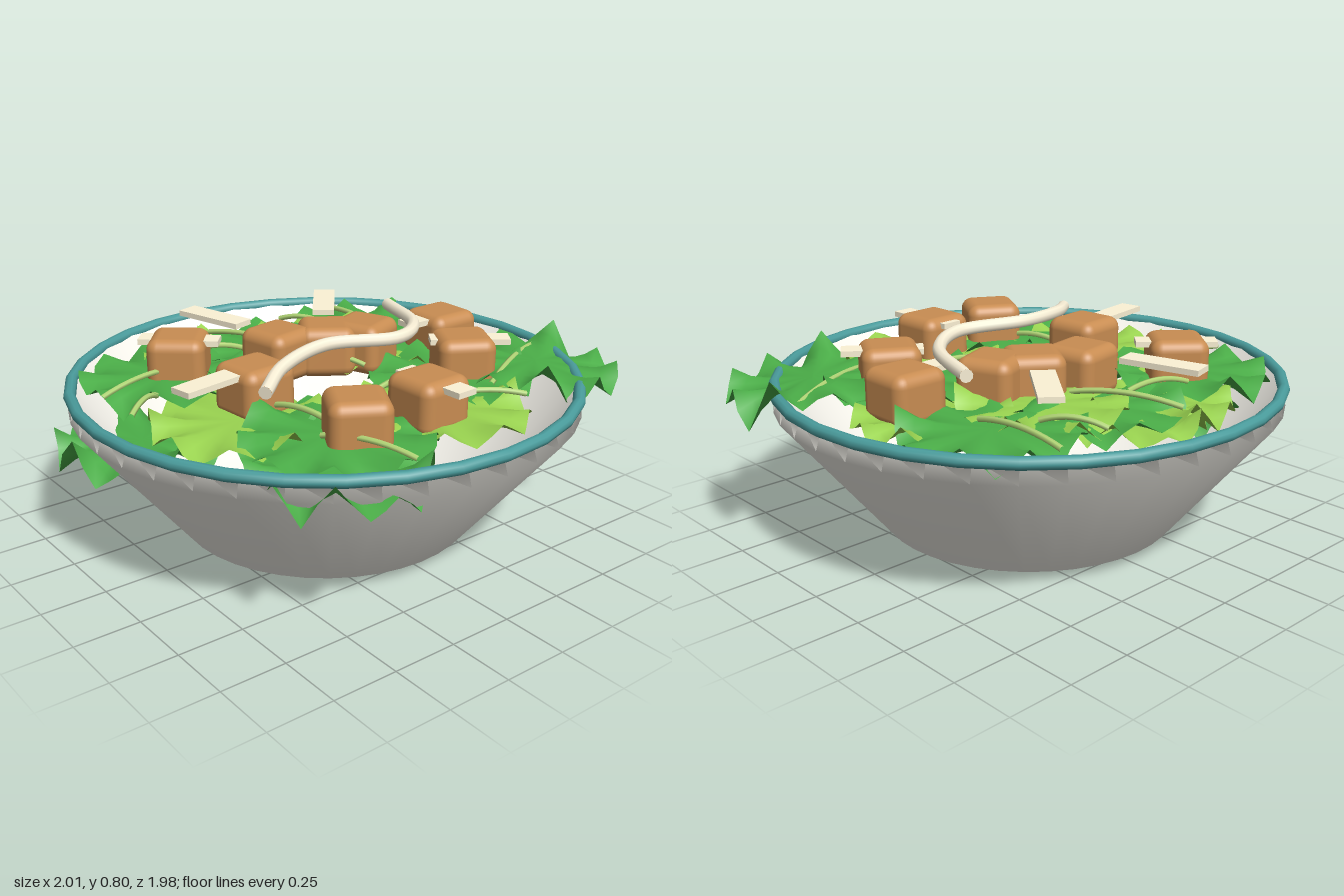
import * as THREE from 'three';
import { RoundedBoxGeometry } from 'three/addons/geometries/RoundedBoxGeometry.js';

const mat = (color, extra = {}) => new THREE.MeshStandardMaterial({ color, ...extra });
const V = (x, y, z) => new THREE.Vector3(x, y, z);

// Lettuce disc: flat in the middle, edge pleated up and down, tilting down outwards by `droop`.
function leafGeometry(x, y, z, radius, ruffle, droop, phase) {
  const rings = 5, seg = 36, pos = [], index = [];
  const len = Math.hypot(x, z);
  for (let i = 0; i <= rings; i++) {
    const t = i / rings;
    for (let j = 0; j < seg; j++) {
      const a = (j / seg) * Math.PI * 2;
      const r = radius * t * (1 + 0.025 * t * t * Math.sin(11 * a + phase));
      const dx = r * Math.cos(a), dz = r * Math.sin(a);
      const pleat = [0, 1, 0, -1][j % 4] * (0.8 + 0.3 * Math.sin(3 * a + phase)) + 0.35 * Math.sin(4 * a + 2 * phase);
      const tilt = -droop * Math.max(0, (dx * x + dz * z) / len);
      pos.push(x + dx, y + ruffle * t ** 4 * pleat + tilt, z + dz);
    }
  }
  for (let i = 0; i < rings; i++) {
    for (let j = 0; j < seg; j++) {
      const k = (j + 1) % seg;
      const a = i * seg + j, b = i * seg + k, c = a + seg, d = b + seg;
      if (i > 0) index.push(a, b, c);
      index.push(b, d, c);
    }
  }
  const g = new THREE.BufferGeometry();
  g.setAttribute('position', new THREE.Float32BufferAttribute(pos, 3));
  g.setIndex(index);
  g.computeVertexNormals();
  return g;
}

export function createModel() {
  const model = new THREE.Group();
  const add = (name, geometry, material, parent = model) => {
    const mesh = new THREE.Mesh(geometry, material);
    mesh.name = name;
    parent.add(mesh);
    return mesh;
  };
  const group = (name) => {
    const g = new THREE.Group();
    g.name = name;
    model.add(g);
    return g;
  };

  // Bowl: outer wall up, over the softly rounded lip, and down the inside
  const profile = [
    [0, 0.003], [0.49, 0.003], [0.58, 0.042], [0.976, 0.535], [0.948, 0.612], [0.55, 0.1], [0, 0.055],
  ].map(([r, y]) => new THREE.Vector2(r, y));
  add('bowl', new THREE.LatheGeometry(profile, 40), mat(0xf8f6ee, { side: THREE.DoubleSide }))
    .position.set(-0.012, 0, -0.003);
  const rim = add('rim', new THREE.TorusGeometry(0.965, 0.023, 10, 32), mat(0x4a9c9c));
  rim.rotation.x = Math.PI / 2;
  rim.position.set(-0.012, 0.608, -0.003);

  // Lettuce: x, y, z, radius, ruffle, droop
  const leafSets = {
    darkLeaf: [0x4bae48, [
      [-0.49, 0.605, -0.38, 0.33, 0.05, 0.03],
      [-0.33, 0.605, 0.48, 0.345, 0.05, 0.03],
      [0.05, 0.59, -0.42, 0.32, 0.045, 0.03],
      [0.51, 0.605, -0.38, 0.325, 0.05, 0.03],
      [0.38, 0.605, 0.28, 0.32, 0.045, 0],
      [0.68, 0.64, 0.44, 0.315, 0.075, 0.15],
      [-0.69, 0.43, -0.24, 0.315, 0.08, 0],
      [-0.42, 0.54, 0.6, 0.31, 0.075, 0],
    ]],
    lightLeaf: [0x9ad450, [
      [-0.2, 0.575, -0.49, 0.285, 0.05, 0],
      [-0.02, 0.56, -0.52, 0.27, 0.05, 0],
      [-0.5, 0.585, 0.14, 0.32, 0.05, 0],
      [0.22, 0.61, -0.32, 0.31, 0.05, 0.04],
      [0.12, 0.595, 0.5, 0.325, 0.045, 0],
      [0.54, 0.585, -0.1, 0.285, 0.045, 0],
    ]],
  };
  const lettuce = group('lettuce');
  for (const [name, [color, list]] of Object.entries(leafSets)) {
    const material = mat(color, { side: THREE.DoubleSide });
    list.forEach((leaf, i) => add(name, leafGeometry(...leaf, i * 1.7), material, lettuce));
  }

  // Croutons: x, z, turn in degrees
  const croutons = group('croutons');
  const toast = mat(0xc98d52);
  const cube = new RoundedBoxGeometry(0.225, 0.2, 0.225, 4, 0.045);
  for (const [x, z, turn] of [
    [-0.43, -0.385, -40], [-0.08, -0.215, 10], [0.11, -0.155, -35], [0.255, -0.1, 22], [0.59, -0.01, 0],
    [-0.38, 0.06, 5], [0.44, 0.28, -30], [-0.285, 0.53, -30], [0.035, 0.53, 2],
  ]) {
    const crouton = add('crouton', cube, toast, croutons);
    crouton.position.set(x, 0.655, z);
    crouton.rotation.y = THREE.MathUtils.degToRad(turn);
  }

  // Cheese shavings: start x, z, end x, z, width
  const cheese = group('cheeseShavings');
  const cream = mat(0xfdf3d6);
  for (const [x1, z1, x2, z2, w] of [
    [-0.2, -0.7, -0.12, -0.4, 0.09], [0.42, -0.57, 0.23, -0.33, 0.09], [-0.72, 0.11, -0.42, 0.06, 0.09],
    [-0.54, -0.49, -0.31, -0.28, 0.08], [0.035, 0.4, 0.05, 0.71, 0.085], [0.34, 0.2, 0.59, 0.38, 0.08],
    [0.39, 0, 0.67, -0.01, 0.08],
  ]) {
    const shaving = add('cheeseShaving', new THREE.BoxGeometry(Math.hypot(x2 - x1, z2 - z1), 0.022, w), cream, cheese);
    shaving.position.set((x1 + x2) / 2, 0.728, (z1 + z2) / 2);
    shaving.rotation.y = -Math.atan2(z2 - z1, x2 - x1);
  }

  // Thin green shreds, each bowed up in the middle: start x, z, end x, z
  const shreds = group('greenShreds');
  const shredMat = mat(0xb4d878);
  for (const [x1, z1, x2, z2] of [
    [-0.82, -0.28, -0.42, -0.38], [-0.1, -0.7, 0.06, -0.3], [0.5, -0.7, 0.5, -0.3], [0.4, 0.48, 0.87, 0.25],
    [0.01, 0.27, 0.36, 0.25], [-0.37, 0.15, -0.31, 0.45], [-0.4, 0.48, -0.27, 0.82], [0.12, 0.46, 0.43, 0.63],
    [-0.82, -0.06, -0.65, -0.18], [0.25, -0.67, 0.36, -0.45], [0.02, -0.2, 0.16, 0.03], [-0.35, -0.51, -0.1, -0.44],
  ]) {
    const path = new THREE.QuadraticBezierCurve3(
      V(x1, 0.615, z1), V((x1 + x2) / 2, 0.665, (z1 + z2) / 2), V(x2, 0.615, z2));
    add('greenShred', new THREE.TubeGeometry(path, 10, 0.011, 6), shredMat, shreds);
  }

  // Wavy ribbon of dressing with closed ends
  const dressing = group('dressing');
  const sauce = mat(0xfbf1d8);
  const path = new THREE.CatmullRomCurve3([
    V(-0.5, 0.735, 0.3), V(-0.34, 0.76, 0.18), V(-0.1, 0.776, 0.115), V(0.18, 0.768, 0.195),
    V(0.37, 0.756, 0.07), V(0.485, 0.745, -0.22),
  ]);
  add('dressingRibbon', new THREE.TubeGeometry(path, 48, 0.025, 10), sauce, dressing);
  for (const end of [0, 1]) {
    const cap = add('dressingEnd', new THREE.CircleGeometry(0.025, 10), sauce, dressing);
    cap.position.copy(path.getPoint(end));
    cap.quaternion.setFromUnitVectors(V(0, 0, 1), path.getTangent(end).multiplyScalar(end ? 1 : -1));
  }
  return model;
}
